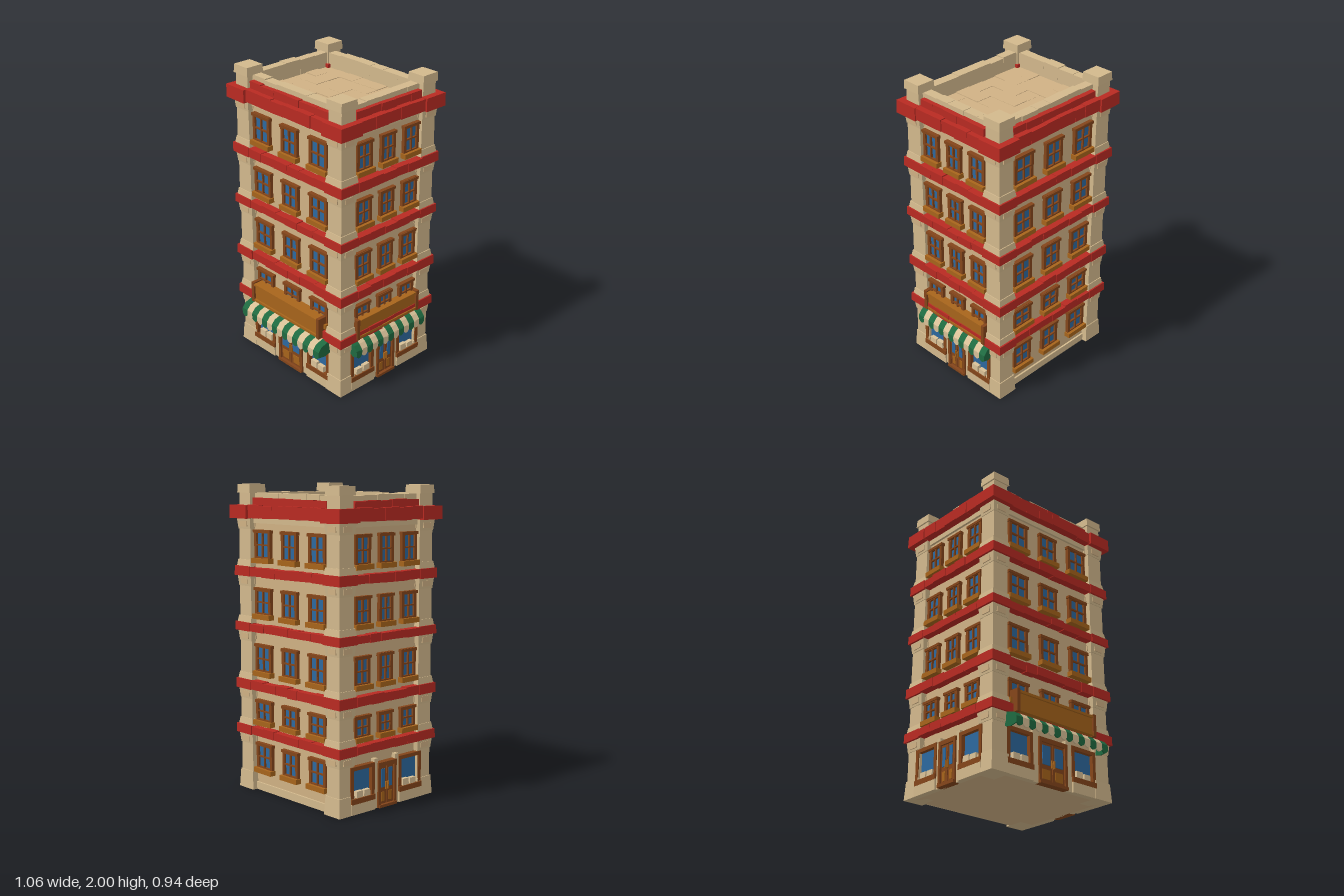
import * as THREE from 'three';

const paint = (name, hex) => {
  const m = new THREE.MeshStandardMaterial({ color: hex });
  m.name = name;
  return m;
};

export function createModel() {
  const wall = paint('wall plaster', 0xd0b184), stone = paint('pale stone', 0xd2b88c);
  const red = paint('red brick', 0xb82a22), wood = paint('brown wood', 0x84451a);
  const ochre = paint('ochre wood', 0xa7641b), glass = paint('blue glass', 0x2d689e);
  const green = paint('green cloth', 0x1f6a40), cream = paint('cream cloth', 0xd9c197);

  let seed = 7;
  const rnd = (a) => {
    seed = (seed * 16807) % 2147483647;
    return (seed / 2147483647 * 2 - 1) * a;
  };
  const root = new THREE.Group();
  root.name = 'building';
  const group = (name, parent) => {
    const g = new THREE.Group();
    g.name = name;
    parent.add(g);
    return g;
  };
  const put = (parent, name, mat, geo, x = 0, y = 0, z = 0) => {
    const m = new THREE.Mesh(geo, mat);
    m.name = name;
    m.position.set(x, y, z);
    parent.add(m);
    return m;
  };
  // Box given by its limits; its top can be narrowed
  const box = (parent, name, mat, x0, x1, y0, y1, z0, z1, taper = 1) => {
    const geo = new THREE.BoxGeometry(x1 - x0, y1 - y0, z1 - z0);
    const p = geo.attributes.position;
    for (let i = 0; i < p.count; i++) {
      if (p.getY(i) > 0) p.setXYZ(i, p.getX(i) * taper, p.getY(i), p.getZ(i) * taper);
    }
    geo.computeVertexNormals();
    return put(parent, name, mat, geo, (x0 + x1) / 2, (y0 + y1) / 2, (z0 + z1) / 2);
  };
  // Row of slightly uneven blocks along a facade
  const row = (parent, name, mat, half, n, y0, y1, z0, z1) => {
    const w = 2 * half / n;
    let a = -half;
    for (let i = 0; i < n; i++) {
      const b = i === n - 1 ? half : -half + w * (i + 1) + rnd(w * 0.15);
      const m = box(parent, name, mat, a, b, y0 + rnd(0.003), y1 + rnd(0.004), z0, z1 + rnd(0.004));
      m.rotation.z = rnd(0.02);
      a = b;
    }
  };
  const rect = (T, x0, x1, y0, y1) => new T(
    [[x0, y0], [x1, y0], [x1, y1], [x0, y1]].map(([x, y]) => new THREE.Vector2(x, y)));
  const extrude = (shape, depth) => new THREE.ExtrudeGeometry(shape, { depth, bevelEnabled: false });

  // Framed glazing with a grid of panes
  const glazing = (parent, x0, x1, y0, y1, border, cols, rows, bar, depth) => {
    const shape = rect(THREE.Shape, x0, x1, y0, y1);
    const pw = (x1 - x0 - 2 * border - (cols - 1) * bar) / cols;
    const ph = (y1 - y0 - 2 * border - (rows - 1) * bar) / rows;
    for (let i = 0; i < cols; i++) for (let j = 0; j < rows; j++) {
      const px = x0 + border + i * (pw + bar), py = y0 + border + j * (ph + bar);
      shape.holes.push(rect(THREE.Path, px, px + pw, py, py + ph));
    }
    put(parent, 'window frame', wood, extrude(shape, depth));
    const inset = border / 2;
    box(parent, 'glass', glass, x0 + inset, x1 - inset, y0 + inset, y1 - inset, 0, 0.009);
  };
  const houseWindow = (parent, x, y0, y1, hw) => {
    const g = group('window', parent);
    g.position.x = x;
    g.rotation.z = 0;
    glazing(g, -hw + 0.006, hw - 0.006, y0 + 0.02, y1 + rnd(0.004), 0.021, 2, 2, 0.009, 0.022);
    box(g, 'window head', wood, -hw, hw, y1 - 0.018, y1, 0, 0.028);
    box(g, 'window sill', ochre, -hw - 0.002, hw + 0.002, y0, y0 + 0.032, 0, 0.042).rotation.z = rnd(0.02);
  };

  const HX = 0.45, HZ = 0.365, CX = -0.005, CZ = -0.029;
  const body = group('body', root);
  body.position.set(CX, 0, CZ);
  box(body, 'walls', wall, -HX, HX, 0, 1.84, -HZ, HZ);

  // Uneven roof paving
  for (let i = 0; i < 7; i++) for (let j = 0; j < 6; j++) {
    const w = 0.78 / 7, d = 0.6 / 6, x = -0.39 + i * w, z = -0.3 + j * d;
    box(body, 'roof tile', wall, x, x + w, 1.83, 1.846 + rnd(0.004), z, z + d);
  }

  // Corner pillars, red corner blocks and roof posts
  const floors = [[0, 0.376], [0.43, 0.677], [0.735, 1.06], [1.11, 1.418], [1.475, 1.785]];
  const bands = [[0.376, 0.43], [0.677, 0.735], [1.06, 1.11], [1.418, 1.475]];
  for (const sx of [-1, 1]) for (const sz of [-1, 1]) {
    const g = group('corner pillar', body);
    g.position.set(sx * 0.42, 0, sz * 0.34);
    const slab = (name, mat, h, y0, y1, taper, off = 0) =>
      box(g, name, mat, sx * off - h, sx * off + h, y0, y1, sz * off - h, sz * off + h, taper);
    floors.forEach(([a, b], i) => {
      const base = i ? 0.045 : 0.12;
      slab('pillar shaft', stone, 0.059, a, b, 0.96);
      slab('pillar foot', stone, 0.071, a, a + base, 0.9);
      slab('pillar capital', stone, 0.061, b - 0.07, b, 1.12);
      box(g, 'capital panel', wall, -0.034, 0.034, b - 0.055, b - 0.02, -0.069, 0.069);
      box(g, 'capital panel', wall, -0.069, 0.069, b - 0.055, b - 0.02, -0.034, 0.034);
    });
    bands.forEach(([a, b]) => slab('band corner', red, 0.075, a - 0.003, b + 0.003, 0.98, 0.007));
    slab('cornice corner', red, 0.085, 1.783, 1.868, 0.98, 0.017).rotation.z = rnd(0.02);
    slab('roof post', stone, 0.056, 1.85, 1.96, 0.98);
    slab('roof post cap', stone, 0.065, 1.945, 2, 0.95);
  }

  // Striped awning with scalloped hem
  const awning = (f, half, n, z0, z1) => {
    const g = group('awning', f), w = 2 * half / n;
    const slope = new THREE.Shape([[z0, 0.352], [z1 - 0.01, 0.3], [z1, 0.305], [z1, 0.325], [z1 - 0.025, 0.355],
      [z0, 0.38]].map(([x, y]) => new THREE.Vector2(x, y)));
    for (let i = 0; i < n; i++) {
      const x = -half + i * w, mat = i % 2 ? cream : green;
      put(g, 'awning stripe', mat, extrude(slope, w).rotateY(-Math.PI / 2), x + w);
      const hem = new THREE.Shape();
      hem.moveTo(0, 0.32);
      hem.lineTo(0, 0.288);
      hem.quadraticCurveTo(w / 2, 0.252, w, 0.288);
      hem.lineTo(w, 0.32);
      put(g, 'awning hem', mat, extrude(hem, 0.01), x, 0, z1 - 0.009);
    }
    for (const x of [-half + 0.008, half]) {
      const cheek = new THREE.Shape([[z0, 0.37], [z0, 0.29], [(z0 + z1) / 2, 0.275], [z1, 0.285], [z1, 0.325]]
        .map(([a, b]) => new THREE.Vector2(a, b)));
      put(g, 'awning cheek', green, extrude(cheek, 0.008).rotateY(-Math.PI / 2), x);
    }
  };

  // Blank sign board
  const sign = (f, half, z1) => {
    const g = group('sign', f);
    box(g, 'sign board', ochre, -half, half, 0.39, 0.515, 0, z1 - 0.012);
    for (const y of [0.387, 0.503]) box(g, 'sign rail', ochre, -half, half, y, y + 0.016, 0, z1);
    for (const s of [-1, 1]) {
      const x = s * (half + 0.008);
      box(g, 'sign end', wood, x - 0.012, x + 0.012, 0.382, 0.527, 0, z1 + 0.002);
    }
  };

  // Ground floor with double door and two display windows
  const shopfront = (f, half, doorHalf, winIn) => {
    const g = group('shopfront', f);
    for (const s of [-1, 1]) {
      const a = s < 0 ? -half : winIn, b = s < 0 ? -winIn : half;
      glazing(g, a, b, 0.07, 0.3, 0.024, 1, 1, 0, 0.035);
      box(g, 'stone plinth', stone, a, b, 0, 0.07, 0, 0.042);
      box(g, 'window ledge', wood, a, b, 0.066, 0.1, 0, 0.043);
      const mid = (a + b) / 2, bw = (b - a) * 0.27;
      for (const k of [-1, 1]) {
        const c = mid + k * bw * 0.58 - s * 0.005;
        box(g, 'goods box', cream, c - bw / 2, c + bw / 2, 0.1, 0.14 + rnd(0.006), 0, 0.036, 0.92);
      }
      const j = s * (doorHalf + winIn) / 2, jw = (winIn - doorHalf) / 2;
      box(g, 'door jamb', stone, j - jw, j + jw, 0, 0.32, 0, 0.03);
      // Door leaf with pane, panel and handle
      const x0 = s < 0 ? -doorHalf + 0.014 : 0.003, x1 = s < 0 ? -0.003 : doorHalf - 0.014;
      box(g, 'door leaf', wood, x0, x1, 0.01, 0.27, 0, 0.03);
      box(g, 'door pane', glass, x0 + 0.016, x1 - 0.016, 0.125, 0.245, 0.03, 0.035);
      box(g, 'door panel', ochre, x0 + 0.018, x1 - 0.018, 0.035, 0.095, 0.03, 0.034);
      box(g, 'door handle', ochre, s * 0.009 - 0.004, s * 0.009 + 0.004, 0.11, 0.16, 0.03, 0.042);
      const p = s * (doorHalf - 0.007);
      box(g, 'door post', wood, p - 0.01, p + 0.01, 0, 0.29, 0, 0.042);
    }
    box(g, 'door head', wood, -doorHalf, doorHalf, 0.262, 0.29, 0, 0.042);
    box(g, 'door step', wood, -doorHalf, doorHalf, 0, 0.018, 0, 0.05);
  };

  const rows = [[0.445, 0.61], [0.77, 0.979], [1.143, 1.344], [1.503, 1.714]];
  const facade = (name, angle, wide, shop, dressed) => {
    const f = group(name, body), out = wide ? HZ : HX, inner = wide ? 0.352 : 0.272;
    f.rotation.y = angle;
    f.position.set(Math.sin(angle) * out, 0, Math.cos(angle) * out);
    const step = wide ? 0.26 : 0.2, hw = wide ? 0.084 : 0.071;
    for (const [a, b] of shop ? rows : [[0.125, 0.325], ...rows]) {
      for (const k of [-1, 0, 1]) houseWindow(f, k * step, a, b, k ? hw : hw - 0.005);
    }
    const n = wide ? 6 : 5;
    for (const [a, b] of bands) row(f, 'red band', red, inner, n, a, b, -0.01, 0.051);
    // Cornice, its upper course and the parapet
    row(f, 'cornice', red, inner, n, 1.79, 1.868, -0.01, 0.063);
    row(f, 'cornice top', red, inner, n, 1.86, 1.913, -0.02, 0.025);
    row(f, 'parapet', stone, inner + 0.02, n, 1.82, 1.944, -0.072, -0.008);
    box(f, 'wall footing', stone, -inner, inner, 0, 0.05, 0, 0.012);
    box(f, 'wall cap', stone, -inner, inner, 1.755, 1.79, 0, 0.015);
    if (shop) shopfront(f, wide ? 0.365 : 0.31, wide ? 0.113 : 0.077, wide ? 0.16 : 0.107);
    if (dressed) {
      awning(f, wide ? 0.378 : 0.313, wide ? 15 : 13, 0.02, wide ? 0.131 : 0.085);
      sign(f, wide ? 0.31 : 0.262, wide ? 0.084 : 0.056);
    }
  };
  facade('front facade', 0, true, true, true);
  facade('left facade', Math.PI / 2, false, true, true);
  facade('back facade', Math.PI, true, false, false);
  facade('right facade', -Math.PI / 2, false, true, false);
  return root;
}
